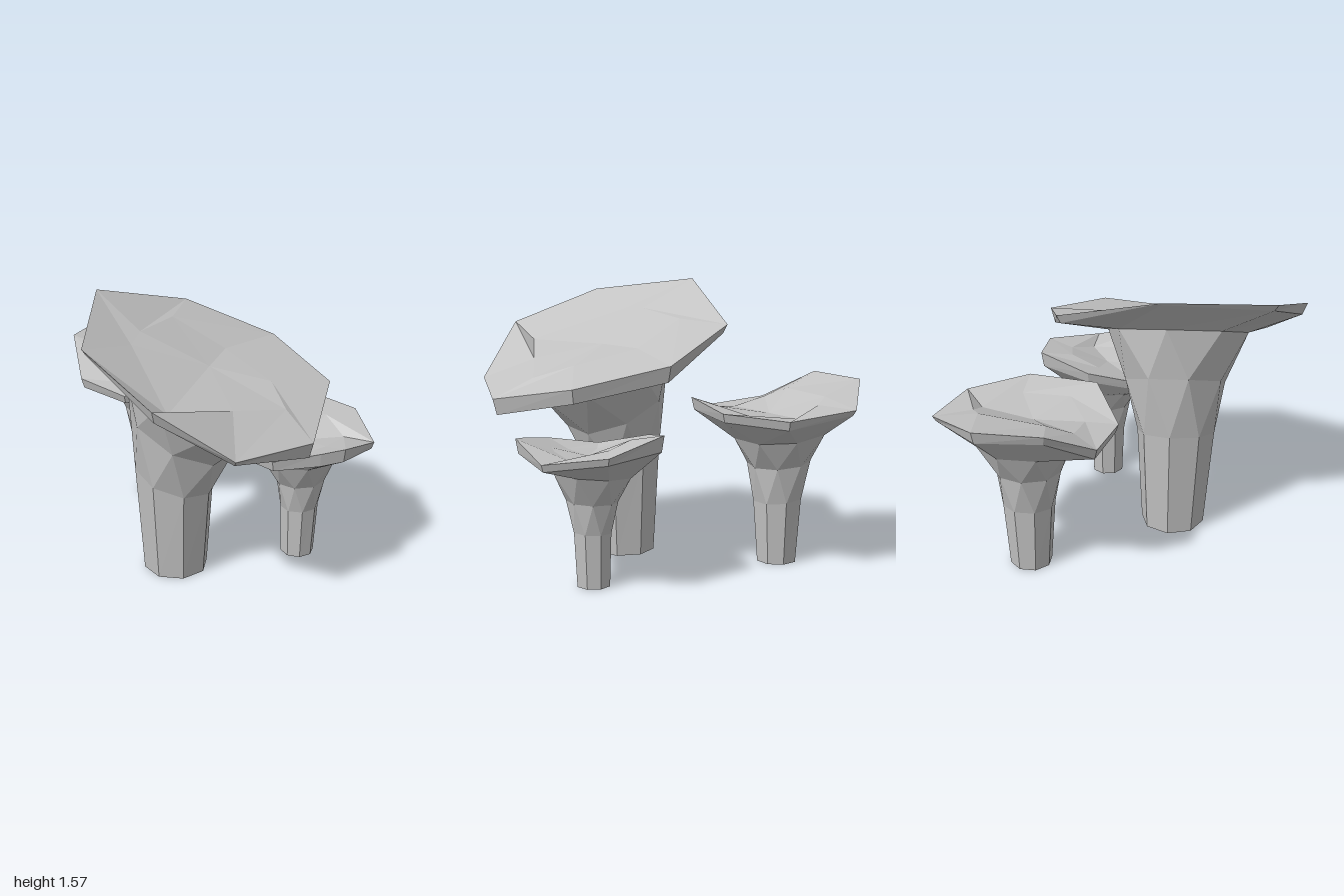
import * as THREE from 'three';

const grey = new THREE.MeshStandardMaterial({ color: 0xc2c2c2, flatShading: true });
grey.name = 'stone grey';

// Skin a list of equal-length closed rings, from bottom to top
function loft(name, rings) {
  const pos = [];
  const tri = (...pts) => {
    const [a, b, c] = pts.map(p => new THREE.Vector3(...p));
    if (b.sub(a).cross(c.sub(a)).lengthSq() > 1e-14) pts.forEach(p => pos.push(...p));
  };
  for (let r = 0; r < rings.length - 1; r++) {
    const lo = rings[r], hi = rings[r + 1], n = lo.length;
    for (let i = 0; i < n; i++) {
      const j = (i + 1) % n;
      tri(lo[i], hi[i], lo[j]);
      tri(lo[j], hi[i], hi[j]);
    }
  }
  const geo = new THREE.BufferGeometry();
  geo.setAttribute('position', new THREE.Float32BufferAttribute(pos, 3));
  geo.computeVertexNormals();
  const mesh = new THREE.Mesh(geo, grey);
  mesh.name = name;
  return mesh;
}

// stem: rings of [x, y, z, radius, slope along x, twist in steps]
// rim: points of [x, y, z, edge thickness]; hollow: inner points of the top
function mushroom({ name, stem, rim, hollow, centre }) {
  const n = rim.length;
  const [bx, , bz] = stem[0];
  const start = Math.atan2(rim[0][2] - bz, rim[0][0] - bx);
  const point = p => Array.from({ length: n }, () => p);

  // Eight-sided stem, twisting and tilting as it flares
  const stemRings = stem.map(([x, y, z, r, slope, twist]) => rim.map((_, i) => {
    const a = start + (i + twist) / n * Math.PI * 2;
    return [x + r * Math.cos(a), y + slope * r * Math.cos(a), z + r * Math.sin(a)];
  }));

  // Cap edge
  const lower = rim.map(([x, y, z, t]) => [
    x + (centre[0] - x) * 0.035, y - t, z + (centre[2] - z) * 0.035]);
  const upper = rim.map(([x, y, z]) => [x, y, z]);

  const group = new THREE.Group();
  group.name = name;
  group.add(
    loft('stem', [point([bx, 0, bz]), ...stemRings, lower]),
    loft('cap', [lower, upper, hollow, point(centre)]));
  return group;
}

export function createModel() {
  const model = new THREE.Group();
  model.name = 'mushroomCluster';
  model.add(
    mushroom({
      name: 'largeMushroom',
      stem: [
        [-0.015, 0, 0.265, 0.182, 0, -1], [-0.015, 0.58, 0.275, 0.222, -0.3, -1],
        [0.025, 0.88, 0.27, 0.29, -0.5, -0.5], [0.13, 1.14, 0.275, 0.4, -0.45, 0]],
      rim: [
        [-0.51, 1.57, 0.2, 0.02], [-0.23, 1.37, -0.37, 0.05],
        [0.28, 1.2, -0.46, 0.09], [0.72, 1.09, -0.18, 0.08],
        [0.825, 0.98, 0.38, 0.09], [0.57, 1.02, 0.82, 0.03],
        [0.2, 1.3, 1.0, 0.07], [-0.28, 1.48, 0.81, 0.04]],
      hollow: [
        [-0.2, 1.41, 0.3], [-0.17, 1.38, -0.05], [0.15, 1.24, -0.05], [0.48, 1.16, 0.1],
        [0.63, 1.09, 0.27], [0.43, 1.15, 0.52], [0.2, 1.21, 0.82], [-0.18, 1.39, 0.45]],
      centre: [0.17, 1.24, 0.22],
    }),
    mushroom({
      name: 'rearMushroom',
      stem: [
        [-0.51, 0, -0.51, 0.117, 0, -1], [-0.51, 0.37, -0.51, 0.145, -0.1, -1],
        [-0.515, 0.58, -0.51, 0.18, -0.1, -0.5], [-0.515, 0.75, -0.515, 0.27, -0.1, 0]],
      rim: [
        [-0.98, 1.03, -0.36, 0.05], [-0.95, 1.03, -0.73, 0.07],
        [-0.59, 0.93, -1.0, 0.03], [-0.19, 0.9, -0.88, 0.05],
        [-0.02, 0.92, -0.55, 0.05], [-0.16, 0.945, -0.16, 0.07],
        [-0.47, 0.85, -0.02, 0.05], [-0.8, 0.87, -0.11, 0.06]],
      hollow: [
        [-0.72, 0.96, -0.38], [-0.62, 0.97, -0.75], [-0.52, 0.94, -0.79], [-0.37, 0.88, -0.77],
        [-0.2, 0.89, -0.57], [-0.25, 0.9, -0.3], [-0.47, 0.86, -0.2], [-0.68, 0.9, -0.24]],
      centre: [-0.46, 0.86, -0.48],
    }),
    mushroom({
      name: 'sideMushroom',
      stem: [
        [0.57, 0, -0.16, 0.095, 0, -1], [0.575, 0.3, -0.16, 0.108, 0.05, -1],
        [0.575, 0.47, -0.16, 0.14, 0.05, -0.5], [0.575, 0.62, -0.16, 0.22, 0.1, 0]],
      rim: [
        [0.25, 0.8, -0.25, 0.06], [0.4, 0.86, -0.54, 0.09],
        [0.77, 0.79, -0.53, 0.04], [0.975, 0.74, -0.24, 0.04],
        [0.905, 0.82, 0.07, 0.08], [0.79, 0.8, 0.14, 0.08],
        [0.55, 0.75, 0.24, 0.06], [0.31, 0.71, 0.1, 0.05]],
      hollow: [
        [0.42, 0.76, -0.2], [0.47, 0.82, -0.36], [0.64, 0.79, -0.38], [0.79, 0.73, -0.26],
        [0.75, 0.75, -0.06], [0.7, 0.75, 0.02], [0.57, 0.72, 0.05], [0.42, 0.71, -0.02]],
      centre: [0.6, 0.72, -0.16],
    }));
  return model;
}
